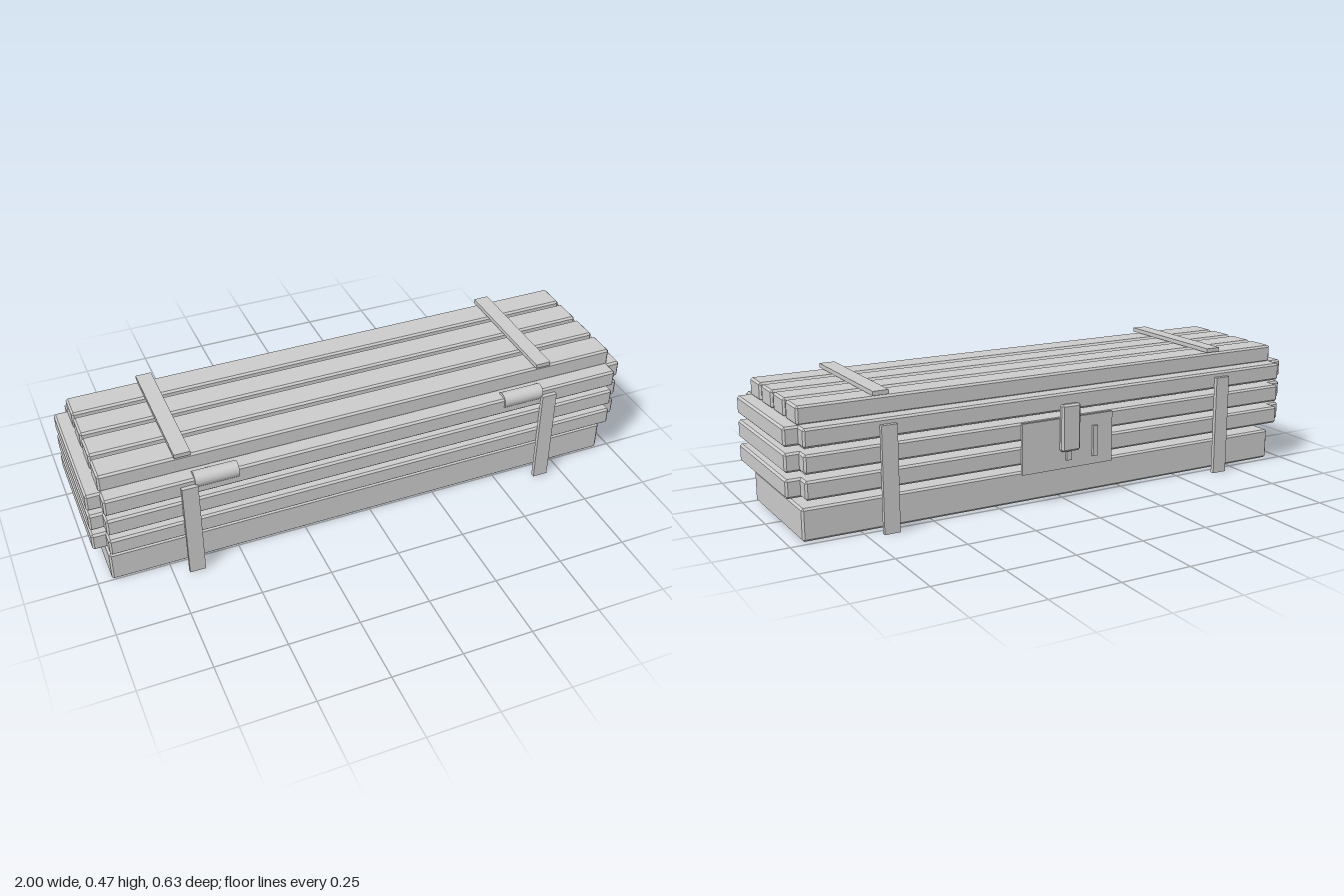
import * as THREE from 'three';
import { ConvexGeometry } from 'three/addons/geometries/ConvexGeometry.js';

const CZ = 0.0105; // centre line of the crate body in z

export function createModel() {
  const group = new THREE.Group();
  const mat = new THREE.MeshStandardMaterial({ color: 0xcccccc });

  const add = (name, geometry, x, y, z) => {
    const mesh = new THREE.Mesh(geometry, mat);
    mesh.name = name;
    mesh.position.set(x, y, z);
    group.add(mesh);
    return mesh;
  };

  // Box with every edge cut by a small flat chamfer
  const chamferBox = (w, h, d, c = 0.007) => {
    const pts = [];
    for (const sx of [-1, 1]) for (const sy of [-1, 1]) for (const sz of [-1, 1]) {
      for (let axis = 0; axis < 3; axis++) {
        const cut = [c, c, c];
        cut[axis] = 0;
        pts.push(new THREE.Vector3(
          sx * (w / 2 - cut[0]), sy * (h / 2 - cut[1]), sz * (d / 2 - cut[2])));
      }
    }
    return new ConvexGeometry(pts);
  };

  // Solid base
  add('base', chamferBox(1.9, 0.112, 0.48), 0, 0.056, CZ);

  // Three rings of slats around the sides
  const longSlat = chamferBox(1.9, 0.064, 0.08);
  const endSlat = chamferBox(0.082, 0.064, 0.48);
  for (const y of [0.184, 0.2695, 0.354]) {
    add('frontSlat', longSlat, 0, y, CZ + 0.2475);
    add('backSlat', longSlat, 0, y, CZ - 0.2475);
    for (const s of [-1, 1]) add('endSlat', endSlat, s * 0.957, y, CZ);
  }

  // Lid planks
  const plank = chamferBox(1.9, 0.064, 0.102);
  for (let i = 0; i < 4; i++) add('lidPlank', plank, 0, 0.414, CZ + 0.181 - i * 0.1205);

  // Straps and hinge barrels, mirrored left and right
  const sideStrap = new THREE.BoxGeometry(0.056, 0.367, 0.015);
  const lidStrap = new THREE.BoxGeometry(0.056, 0.015, 0.48);
  const barrel = new THREE.CylinderGeometry(0.028, 0.028, 0.152, 32).rotateZ(Math.PI / 2);
  for (const s of [-1, 1]) {
    add('frontStrap', sideStrap, s * 0.668, 0.1835, CZ + 0.298);
    add('backStrap', sideStrap, s * 0.668, 0.1835, CZ - 0.297);
    add('lidStrap', lidStrap, s * 0.668, 0.458, CZ);
    add('hingeBarrel', barrel, s * 0.57, 0.37, 0.278);
  }

  // Latch at the back
  add('latchPlate', new THREE.BoxGeometry(0.364, 0.182, 0.01), 0, 0.21, -0.285);
  add('latchHasp', chamferBox(0.075, 0.169, 0.026), 0, 0.2695, -0.302);
  add('latchPin', new THREE.BoxGeometry(0.02, 0.07, 0.012), 0, 0.185, -0.294);
  add('latchBar', new THREE.BoxGeometry(0.018, 0.11, 0.012), -0.107, 0.205, -0.294);

  return group;
}
